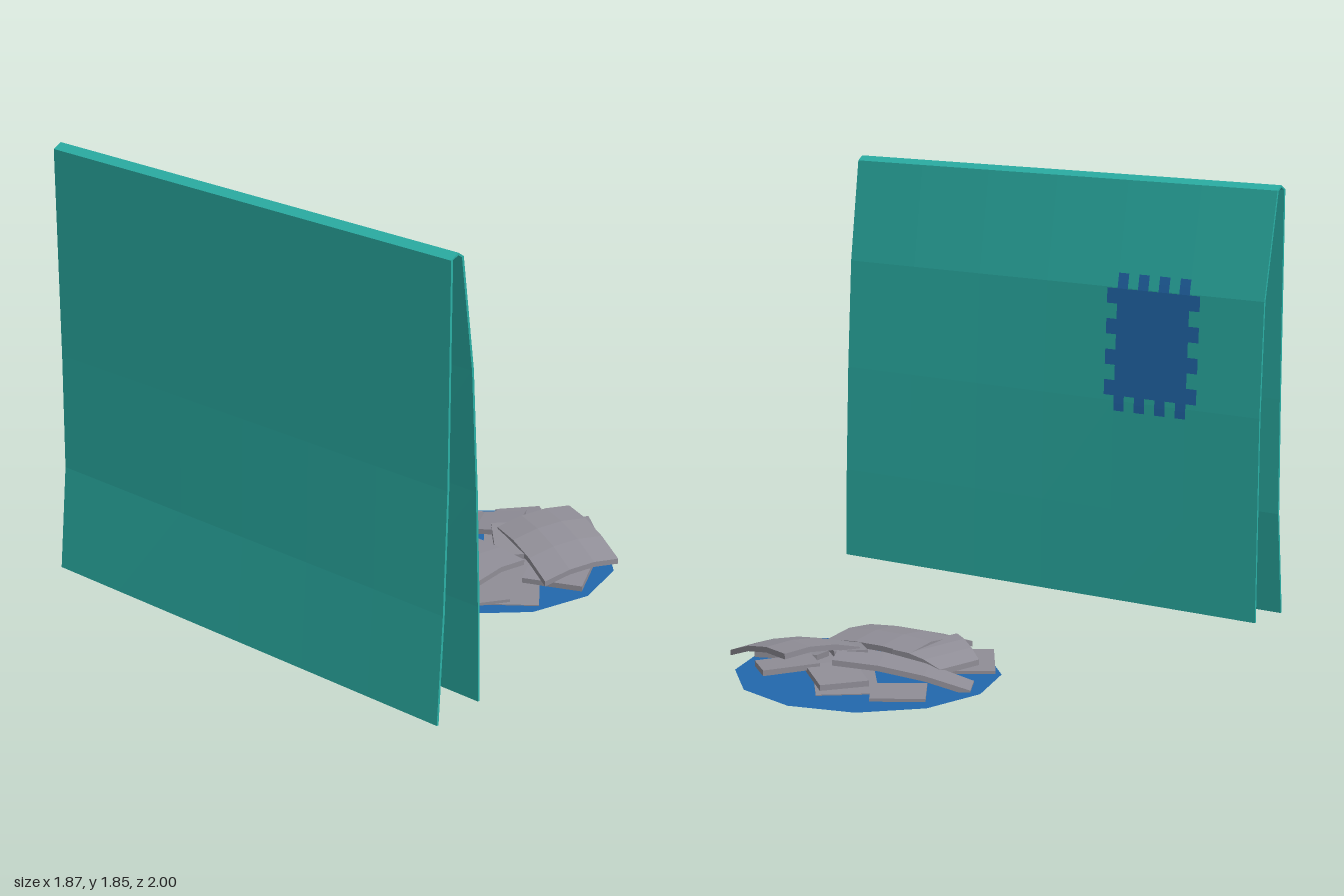
import * as THREE from 'three';

const material = (color) => new THREE.MeshStandardMaterial({ color, flatShading: true, side: THREE.DoubleSide });
const teal = material(0x2bb0a6), blue = material(0x2268ac), stone = material(0x8f8d96);
const lerp = THREE.MathUtils.lerp;

// Folded sheet profile: [x at z = 1, x at z = -1, y], back panel up, over the fold, front panel down
const PROFILE = [
  [-0.935, -0.935, 0.11], [-0.905, -0.89, 0.53], [-0.885, -0.88, 1.0], [-0.873, -0.873, 1.835],
  [-0.842, -0.842, 1.85],
  [-0.818, -0.816, 1.835], [-0.76, -0.725, 1.41], [-0.733, -0.706, 0.95], [-0.716, -0.707, 0.5], [-0.71, -0.708, 0.12],
];
const THICK = 0.01;

function profilePoint(i, z) {
  const [a, b, y] = PROFILE[i];
  return new THREE.Vector2(lerp(a, b, (1 - z) / 2), y);
}

// x of the patched panel at a given height and depth
function panelX(y, z) {
  let i = 5;
  while (PROFILE[i + 1][2] > y) i++;
  const p = profilePoint(i, z), q = profilePoint(i + 1, z);
  return lerp(q.x, p.x, (y - q.y) / (p.y - q.y));
}

// Move every vertex of a geometry by a rule
function reshape(geometry, rule) {
  const pos = geometry.attributes.position, v = new THREE.Vector3();
  for (let i = 0; i < pos.count; i++) {
    rule(v.fromBufferAttribute(pos, i));
    pos.setXYZ(i, v.x, v.y, v.z);
  }
  geometry.computeVertexNormals();
  return geometry;
}

function add(parent, name, geometry, mat) {
  const mesh = new THREE.Mesh(geometry, mat);
  mesh.name = name;
  parent.add(mesh);
  return mesh;
}

// A thin box wrapped along the profile
function foldedSheet() {
  const last = PROFILE.length - 1;
  return reshape(new THREE.BoxGeometry(THICK, 1, 2, 1, last, 6), (v) => {
    const i = Math.round((v.y + 0.5) * last);
    const p = profilePoint(i, v.z);
    const t = profilePoint(Math.min(i + 1, last), v.z).sub(profilePoint(Math.max(i - 1, 0), v.z)).normalize();
    v.set(p.x + t.y * v.x, p.y - t.x * v.x, v.z);
  });
}

// Patch piece that follows the panel
function patchPiece(z, y, depth, height, segments) {
  const geometry = new THREE.PlaneGeometry(depth, height, 1, segments);
  geometry.rotateY(Math.PI / 2).translate(0, y, z);
  return reshape(geometry, (v) => { v.x = panelX(v.y, v.z) + THICK / 2 + 0.005; });
}

// Slab tilted and arched along its width and depth; taper widens its front end
function slab([x, y, z, width, depth, yaw, riseW = 0, riseD = 0, archW = 0, archD = 0, taper = 0]) {
  const thick = riseW || riseD ? 0.022 : 0.012;
  const geometry = reshape(new THREE.BoxGeometry(1, thick, 1, 3, 1, 3), (v) => {
    v.y += riseW * v.x + riseD * v.z + archW * Math.cos(Math.PI * v.x) + archD * Math.cos(Math.PI * v.z);
    v.x *= width * (1 + taper * v.z);
    v.z *= depth;
  });
  return geometry.rotateY(yaw).translate(x, y, z);
}

// Centre, width, depth, yaw, then rises, arches and taper
const SLABS = {
  baseSlab: [0.42, 0.014, 0.21, 0.24, 0.72, -0.9],
  leftFrontSlab: [0.1, 0.028, 0.29, 0.24, 0.17, -0.56],
  backLeftSlab: [0.12, 0.032, -0.18, 0.3, 0.2, 0.59],
  backInnerSlab: [0.25, 0.08, -0.14, 0.27, 0.2, -0.25, 0, 0.05, 0, 0.015, 0.5],
  backRightSlab: [0.62, 0.036, -0.19, 0.2, 0.21, 0.56],
  rightSlab: [0.71, 0.088, 0.03, 0.19, 0.21, -0.67, 0, 0.02],
  rightFrontSlab: [0.74, 0.103, 0.24, 0.22, 0.14, -0.69, -0.01],
  longSlab: [0.48, 0.07, -0.12, 0.17, 0.52, 0.47, 0, 0.115, 0, 0.02, 0.5],
  broadSlab: [0.165, 0.07, 0.115, 0.42, 0.4, -0.03, 0.05, -0.01, 0.035, 0.012],
  middleSlab: [0.455, 0.11, 0.17, 0.25, 0.13, 0.78, 0.03],
  supportSlab: [0.47, 0.05, 0.42, 0.2, 0.25, 0.4, 0.04],
  topSlab: [0.57, 0.1, 0.33, 0.34, 0.4, -0.37, 0.03, -0.08, 0.022, 0.025],
};

export function createModel() {
  const model = new THREE.Group();
  add(model, 'foldedSheet', foldedSheet(), teal);

  // Patch: a body seven cells wide and high with four tabs on every edge
  const patch = new THREE.Group();
  patch.name = 'patch';
  const cz = -0.504, cy = 1.19, w = 0.0475, h = 0.0622;
  for (let row = -3; row <= 3; row++) add(patch, 'patchBody', patchPiece(cz, cy + row * h, 7 * w, h, 4), blue);
  for (let k = -3; k <= 3; k += 2) {
    for (const side of [-1, 1]) {
      add(patch, 'patchTab', patchPiece(cz + k * w, cy + side * 4 * h, w, h, 2), blue);
      add(patch, 'patchTab', patchPiece(cz + side * 4 * w, cy + k * h, w, h, 2), blue);
    }
  }
  model.add(patch);

  // Round mat under the pile
  const mat = add(model, 'mat', new THREE.CircleGeometry(0.518, 12).rotateX(-Math.PI / 2), blue);
  mat.position.set(0.415, 0.016, 0.095);

  // Pile of bent slabs
  const pile = new THREE.Group();
  pile.name = 'slabPile';
  for (const [name, values] of Object.entries(SLABS)) add(pile, name, slab(values), stone);
  model.add(pile);
  return model;
}
